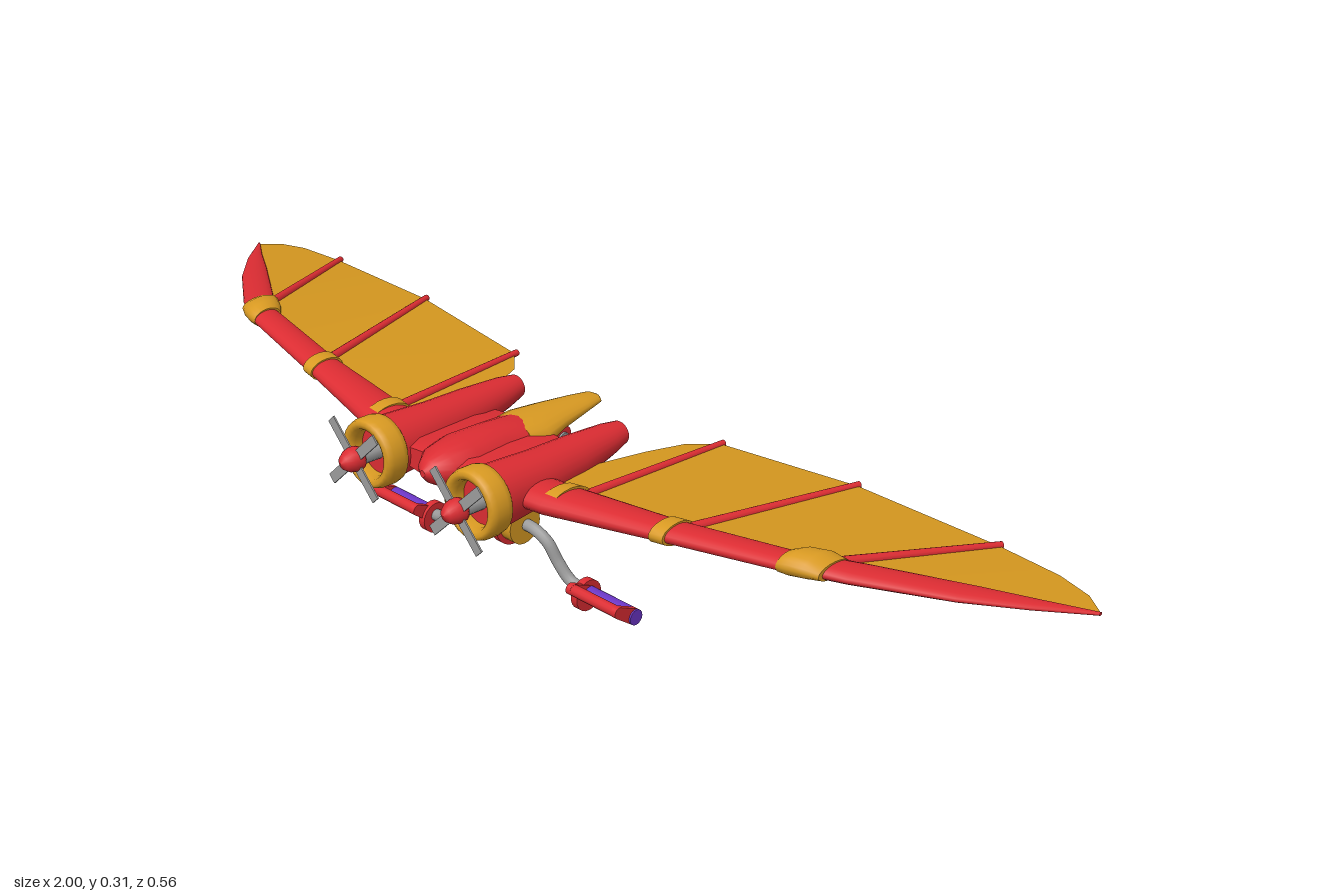
import * as THREE from 'three';

const V = (x, y, z) => new THREE.Vector3(x, y, z);
const mat = (name, color, side = THREE.FrontSide) => {
  const m = new THREE.MeshStandardMaterial({ color, side });
  m.name = name;
  return m;
};

// Skin elliptical rings [x, y, z, halfA, halfB]; axis 'x' rings lie in zy, axis 'z' rings in xy
function loft(rings, axis, n = 20) {
  const pos = [], idx = [];
  const put = (r, k) => {
    for (let i = 0; i < n; i++) {
      const a = (i / n) * Math.PI * 2, c = Math.cos(a) * r[3] * k, s = Math.sin(a) * r[4] * k;
      if (axis === 'x') pos.push(r[0], r[1] + s, r[2] - c);
      else pos.push(r[0] + c, r[1] + s, r[2]);
    }
  };
  rings.forEach((r) => put(r, 1));
  for (let j = 0; j < rings.length - 1; j++) {
    for (let i = 0; i < n; i++) {
      const a = j * n + i, b = j * n + (i + 1) % n;
      idx.push(a, b, b + n, a, b + n, a + n);
    }
  }
  // flat end caps on their own vertices
  [rings[0], rings[rings.length - 1]].forEach((r, e) => {
    const o = pos.length / 3;
    put(r, 1);
    for (let i = 1; i < n - 1; i++) idx.push(o, e ? o + i : o + i + 1, e ? o + i + 1 : o + i);
  });
  const g = new THREE.BufferGeometry();
  g.setAttribute('position', new THREE.Float32BufferAttribute(pos, 3));
  g.setIndex(idx);
  g.computeVertexNormals();
  return g;
}

// Round rod between two points
function rod(a, b, ra, rb = ra, n = 12) {
  const d = b.clone().sub(a), g = new THREE.CylinderGeometry(rb, ra, d.length(), n);
  g.applyQuaternion(new THREE.Quaternion().setFromUnitVectors(V(0, 1, 0), d.normalize()));
  return g.translate((a.x + b.x) / 2, (a.y + b.y) / 2, (a.z + b.z) / 2);
}

// Lathe along z from [radius, z] points
const turned = (pts, n = 28) =>
  new THREE.LatheGeometry(pts.map((p) => new THREE.Vector2(p[0], p[1])), n).rotateX(Math.PI / 2);

// Plate wrapping two circles [z, y, r], centred at x
function linkPlate(p, q, x, t) {
  const a = Math.atan2(q[1] - p[1], q[0] - p[0]);
  const f = Math.acos((p[2] - q[2]) / Math.hypot(q[0] - p[0], q[1] - p[1]));
  const s = new THREE.Shape();
  s.absarc(p[0], p[1], p[2], a + f, a - f + Math.PI * 2, false);
  s.absarc(q[0], q[1], q[2], a - f, a + f, false);
  return new THREE.ExtrudeGeometry(s, { depth: t, bevelEnabled: false, curveSegments: 20 })
    .rotateY(-Math.PI / 2).translate(x + t / 2, 0, 0);
}

function mirrorX(g) {
  const m = (g.index ? g.toNonIndexed() : g.clone()).applyMatrix4(new THREE.Matrix4().makeScale(-1, 1, 1));
  for (const k of Object.keys(m.attributes)) {
    const at = m.attributes[k], w = at.itemSize, arr = at.array;
    for (let i = 0; i < at.count; i += 3) {
      for (let c = 0; c < w; c++) {
        const u = (i + 1) * w + c, v = (i + 2) * w + c;
        [arr[u], arr[v]] = [arr[v], arr[u]];
      }
    }
  }
  return m;
}

export function createModel() {
  const root = new THREE.Group();
  root.name = 'wingGlider';
  const red = mat('red', 0xdb2c32), gold = mat('gold', 0xd99a22);
  const cloth = mat('goldCloth', 0xd3961f, THREE.DoubleSide);
  const grey = mat('grey', 0x9c9c9c), purple = mat('purple', 0x6a35c4);
  const add = (name, g, m) => {
    const mesh = new THREE.Mesh(g, m);
    mesh.name = name;
    root.add(mesh);
  };
  const pair = (name, g, m) => {
    add(name + 'Left', g, m);
    add(name + 'Right', mirrorX(g), m);
  };

  // Fuselage, web between the engines, and tail
  add('fuselage', loft([[0, 0.25, -0.04, 0.05, 0.025], [0, 0.25, 0, 0.052, 0.036], [0, 0.249, 0.06, 0.048, 0.042],
    [0, 0.248, 0.13, 0.055, 0.042], [0, 0.248, 0.175, 0.045, 0.034], [0, 0.248, 0.2, 0.025, 0.02],
    [0, 0.248, 0.213, 0.006, 0.006]], 'z'), red);
  add('web', loft([[0, 0.25, -0.03, 0.11, 0.014], [0, 0.242, 0.02, 0.13, 0.03],
    [0, 0.24, 0.15, 0.13, 0.032], [0, 0.24, 0.175, 0.12, 0.022]], 'z'), red);
  add('tail', loft([[0, 0.268, -0.183, 0.008, 0.004], [0, 0.268, -0.175, 0.02, 0.008], [0, 0.267, -0.14, 0.028, 0.013],
    [0, 0.264, -0.07, 0.044, 0.02], [0, 0.258, -0.02, 0.057, 0.028], [0, 0.256, 0.015, 0.05, 0.03]], 'z'), gold);

  // Engines
  const ex = 0.125, ey = 0.242;
  pair('nacelle', loft([[ex, 0.265, -0.113, 0.022, 0.02], [ex, 0.262, -0.08, 0.03, 0.027], [ex, 0.252, 0, 0.04, 0.04],
    [ex, 0.245, 0.08, 0.046, 0.047], [ex, ey, 0.18, 0.054, 0.054], [ex, ey, 0.2, 0.052, 0.052]], 'z', 24), red);
  pair('cowlRing', turned([[0.04, 0.2], [0.053, 0.18], [0.059, 0.185], [0.061, 0.195], [0.061, 0.216],
    [0.058, 0.226], [0.052, 0.229], [0.044, 0.226], [0.04, 0.216], [0.04, 0.2]]).translate(ex, ey, 0), gold);
  pair('propShaft', rod(V(ex, ey, 0.195), V(ex, ey, 0.248), 0.014), grey);
  pair('spinner', turned([[0, 0.241], [0.02, 0.242], [0.022, 0.25], [0.019, 0.264], [0.012, 0.275], [0, 0.281]], 20)
    .translate(ex, ey, 0), red);
  for (let i = 0; i < 4; i++) {
    const blade = new THREE.BoxGeometry(0.066, 0.018, 0.003).translate(0.045, 0, 0)
      .rotateZ(Math.PI / 4 + i * Math.PI / 2).translate(ex, ey, 0.253);
    pair('blade' + (i + 1), blade, grey);
  }

  // Wing spars and their collars
  pair('innerSpar', loft([[0.16, 0.242, 0.112, 0.047, 0.022], [0.21, 0.244, 0.108, 0.045, 0.022],
    [0.42, 0.259, 0.074, 0.031, 0.016], [0.65, 0.277, 0.03, 0.027, 0.014]], 'x'), red);
  pair('outerSpar', loft([[0.64, 0.277, 0.031, 0.028, 0.014], [0.72, 0.27, -0.02, 0.034, 0.012],
    [0.85, 0.256, -0.113, 0.03, 0.009], [0.93, 0.247, -0.177, 0.018, 0.006],
    [1, 0.237, -0.242, 0.003, 0.003]], 'x'), red);
  pair('rootCollar', loft([[0.203, 0.243, 0.104, 0.046, 0.025], [0.227, 0.245, 0.1, 0.045, 0.025]], 'x'), gold);
  pair('midCollar', loft([[0.408, 0.258, 0.075, 0.036, 0.019], [0.434, 0.26, 0.071, 0.036, 0.019]], 'x'), gold);
  pair('wristJoint', loft([[0.625, 0.275, 0.033, 0.03, 0.017], [0.642, 0.278, 0.026, 0.037, 0.021],
    [0.668, 0.278, 0.014, 0.04, 0.02], [0.69, 0.274, 0.004, 0.036, 0.014]], 'x'), gold);

  // Wing membrane: front and back point at each station
  const stations = [
    [0.155, 0.245, 0.08, 0.16, 0.247, -0.03], [0.185, 0.244, 0.09, 0.18, 0.247, -0.12],
    [0.2, 0.244, 0.09, 0.205, 0.249, -0.185], [0.225, 0.245, 0.09, 0.25, 0.252, -0.227],
    [0.43, 0.26, 0.06, 0.52, 0.267, -0.252], [0.66, 0.277, 0.02, 0.79, 0.258, -0.27],
    [0.78, 0.263, -0.065, 0.9, 0.249, -0.276], [0.9, 0.25, -0.155, 0.96, 0.242, -0.268],
    [0.995, 0.237, -0.24, 0.998, 0.237, -0.245]];
  const mem = new THREE.BufferGeometry(), quads = [];
  for (let i = 0; i < stations.length - 1; i++) {
    const k = i * 2;
    quads.push(k, k + 2, k + 1, k + 1, k + 2, k + 3);
  }
  mem.setAttribute('position', new THREE.Float32BufferAttribute(stations.flat(), 3));
  mem.setIndex(quads);
  mem.computeVertexNormals();
  pair('membrane', mem, cloth);

  // Wing ribs
  [3, 4, 5].forEach((k, i) => {
    const s = stations[k];
    pair('rib' + (i + 1), rod(V(s[0], s[1], s[2]), V(s[3], s[4], s[5] - 0.006), 0.009, 0.006), red);
  });

  // Hanging frame with hub
  const hub = [0.046, 0.124, 0.043], pivot = [-0.03, 0.156, 0.017], top = [-0.08, 0.236, 0.016];
  pair('hubPlate', linkPlate(hub, pivot, 0.037, 0.014), red);
  pair('hangerStrut', linkPlate(pivot, top, 0.022, 0.012), red);
  add('hub', rod(V(-0.068, hub[1], hub[0]), V(0.068, hub[1], hub[0]), 0.034, 0.034, 28), gold);
  add('pivotPin', rod(V(-0.047, pivot[1], pivot[0]), V(0.047, pivot[1], pivot[0]), 0.008), gold);
  add('topPin', rod(V(-0.032, 0.23, -0.078), V(0.032, 0.23, -0.078), 0.012), grey);

  // Cranks and pedals
  const py = 0.034, pz = 0.02;
  const path = new THREE.CatmullRomCurve3([V(0.06, 0.124, 0.042), V(0.09, 0.122, 0.042), V(0.115, 0.107, 0.038),
    V(0.132, 0.075, 0.03), V(0.155, 0.047, 0.023), V(0.19, 0.038, pz)]);
  pair('crank', new THREE.TubeGeometry(path, 28, 0.0105, 12), grey);
  pair('pedalDisc', rod(V(0.182, py, pz), V(0.196, py, pz), 0.028, 0.028, 24), red);
  pair('pedalGrip', rod(V(0.19, py + 0.004, pz), V(0.305, py + 0.004, pz), 0.014, 0.014, 16), purple);
  [0.193, 0.297].forEach((x, i) => {
    pair('pedalArm' + (i + 1), linkPlate([pz, py + 0.004, 0.014], [0.057, 0.058, 0.01], x, 0.01), red);
  });
  pair('pedalBar', rod(V(0.19, 0.058, 0.057), V(0.3, 0.058, 0.057), 0.01), red);

  // Slight bank of the whole craft
  root.rotation.z = -0.0225;
  const model = new THREE.Group();
  model.name = 'model';
  model.add(root);
  return model;
}
